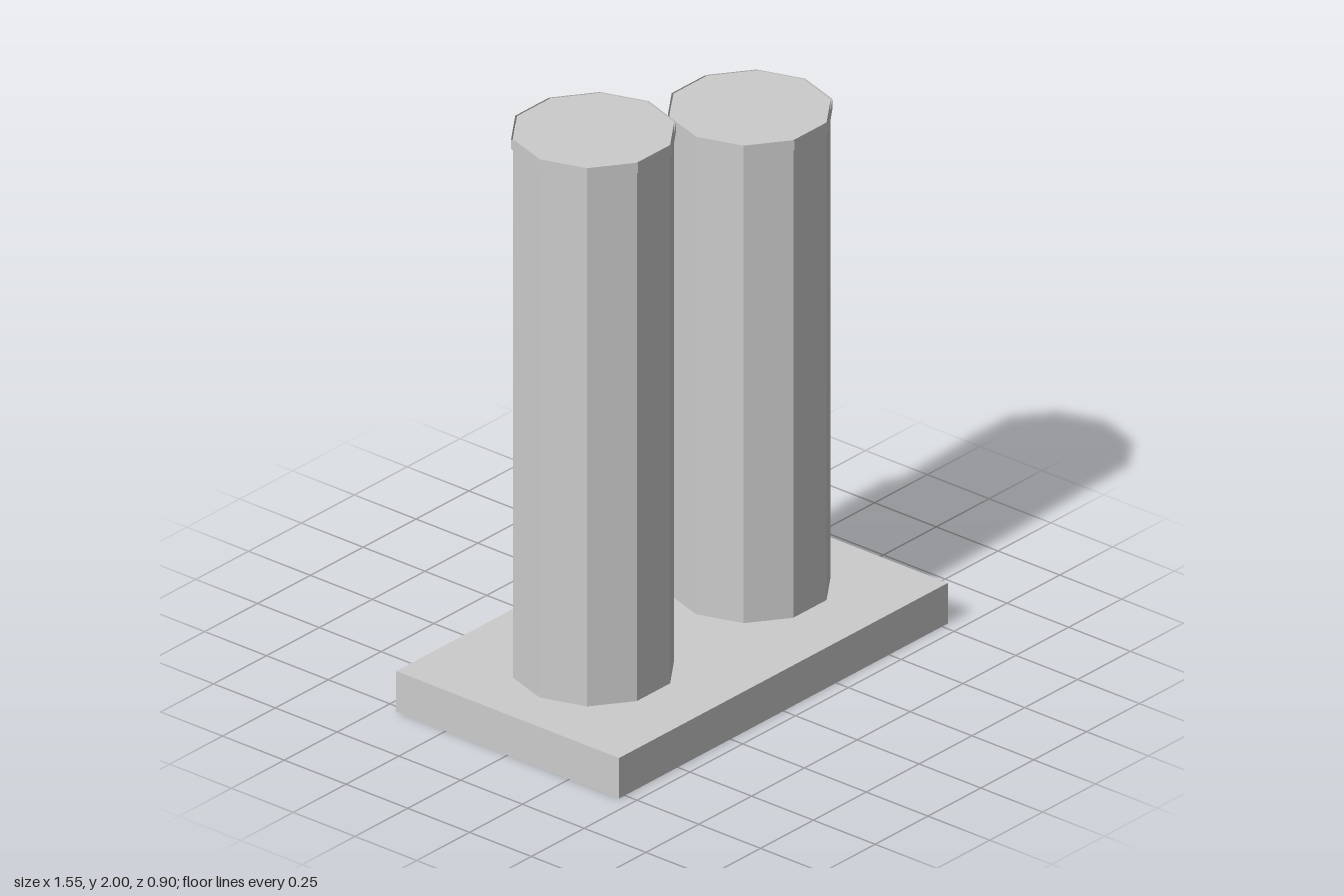
import * as THREE from 'three';

export function createModel() {
  const model = new THREE.Group();
  const grey = new THREE.MeshStandardMaterial({ color: 0xcccccc, flatShading: true, side: THREE.DoubleSide });
  grey.name = 'plain grey';

  const add = (parent, name, geometry, x, y) => {
    const mesh = new THREE.Mesh(geometry, grey);
    mesh.name = name;
    mesh.position.set(x, y, 0);
    parent.add(mesh);
  };

  // Ten-sided tube with corners on the x axis
  const tube = (radius, height) =>
    new THREE.CylinderGeometry(radius, radius, height, 10, 1, true).rotateY(Math.PI / 2);

  // Hollow base slab, open underneath (the box's bottom face is left out)
  const baseHeight = 0.14;
  const slab = new THREE.BoxGeometry(1.555, baseHeight, 0.902);
  const index = Array.from(slab.index.array);
  index.splice(18, 6);
  slab.setIndex(index);
  slab.clearGroups();
  add(model, 'base', slab, 0, baseHeight / 2);

  // Columns: shaft, flat top and a thin band slightly proud of the shaft
  const radius = 0.255, bandHeight = 0.033;
  for (const [name, x, top] of [['tallColumn', -0.371, 2], ['shortColumn', 0.369, 1.79]]) {
    const column = new THREE.Group();
    column.name = name;
    const height = top - baseHeight;
    add(column, 'shaft', tube(radius, height), x, baseHeight + height / 2);
    add(column, 'top', new THREE.CircleGeometry(radius, 10).rotateX(-Math.PI / 2), x, top);
    add(column, 'rimBand', tube(radius + 0.006, bandHeight), x, top - bandHeight / 2);
    model.add(column);
  }
  return model;
}
